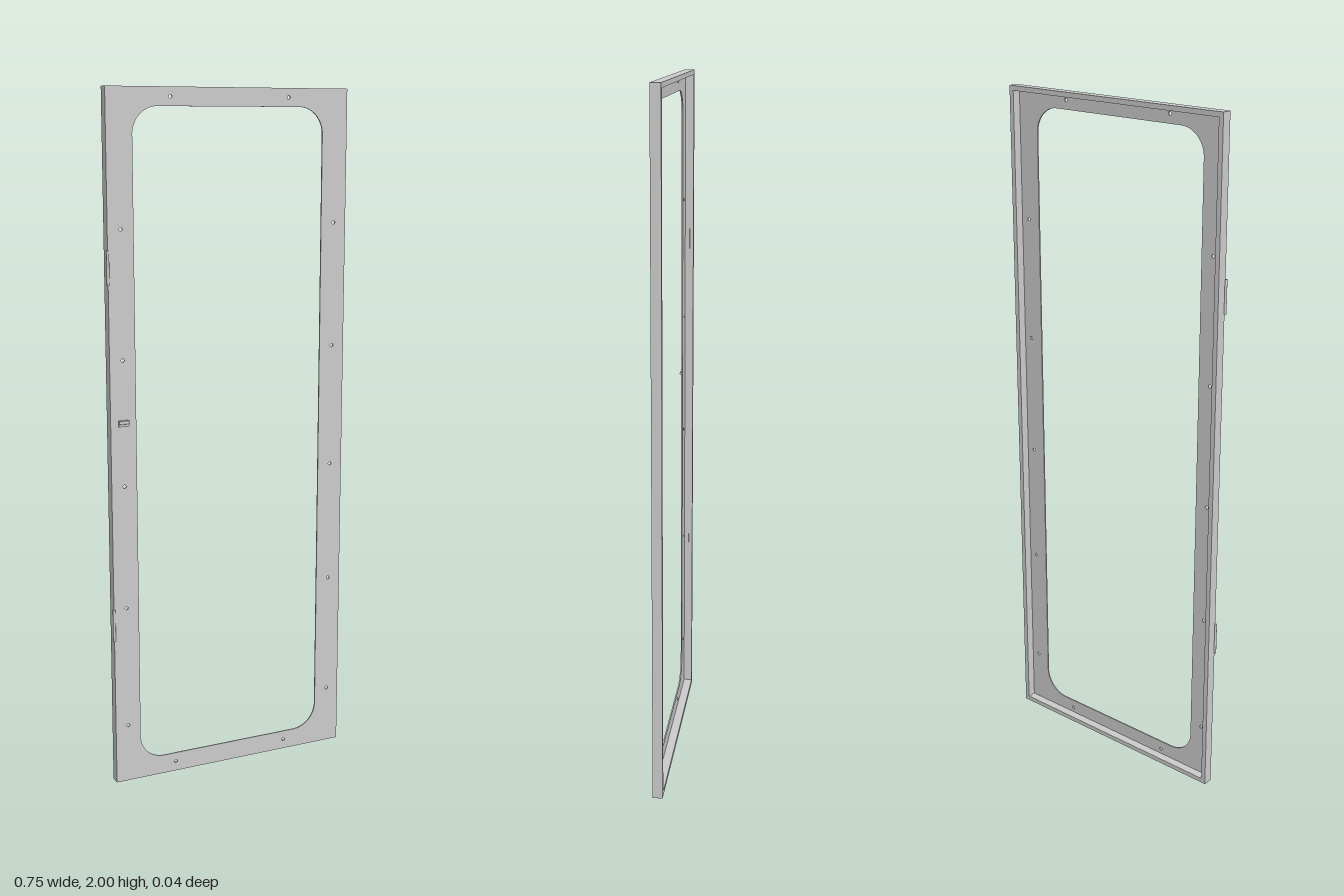
import * as THREE from 'three';

const W = 0.372, H = 2, FRONT = 0.01, BACK = -0.019, SHEET = 0.004, RIM = 0.014;

// Rectangle outline with optional rounded corners
function rect(target, x0, y0, x1, y1, r = 0) {
  if (!r) {
    target.moveTo(x0, y0).lineTo(x1, y0).lineTo(x1, y1).lineTo(x0, y1).closePath();
    return target;
  }
  target.moveTo(x0 + r, y0);
  target.lineTo(x1 - r, y0).absarc(x1 - r, y0 + r, r, -Math.PI / 2, 0);
  target.lineTo(x1, y1 - r).absarc(x1 - r, y1 - r, r, 0, Math.PI / 2);
  target.lineTo(x0 + r, y1).absarc(x0 + r, y1 - r, r, Math.PI / 2, Math.PI);
  target.lineTo(x0, y0 + r).absarc(x0 + r, y0 + r, r, Math.PI, Math.PI * 1.5);
  return target;
}

export function createModel() {
  const group = new THREE.Group();
  const material = new THREE.MeshStandardMaterial({ color: 0xcccccc });

  const add = (name, geometry, x = 0, y = 0, z = 0) => {
    const mesh = new THREE.Mesh(geometry, material);
    mesh.name = name;
    mesh.position.set(x, y, z);
    group.add(mesh);
    return mesh;
  };
  const extrude = (shape, depth) =>
    new THREE.ExtrudeGeometry(shape, { depth, bevelEnabled: false, curveSegments: 16 });

  // Front sheet with the rounded window and the screw holes
  const sheet = rect(new THREE.Shape(), -W, 0, W, H);
  sheet.holes.push(rect(new THREE.Path(), -0.295, 0.057, 0.292, 1.948, 0.075));
  const hole = (x, y) => sheet.holes.push(new THREE.Path().absarc(x, y, 0.005, 0, Math.PI * 2));
  for (const side of [-1, 1]) {
    for (let i = 0; i < 5; i++) hole(side * 0.333, 0.174 + i * 0.3615);
    for (const y of [0.03, 1.974]) hole(side * 0.182, y);
  }
  add('frontSheet', extrude(sheet, SHEET), 0, 0, FRONT - SHEET);

  // Folded rim around the back
  const rim = rect(new THREE.Shape(), -W, 0, W, H);
  rim.holes.push(rect(new THREE.Path(), -W + RIM, RIM, W - RIM, H - RIM));
  add('rim', extrude(rim, FRONT - SHEET - BACK), 0, 0, BACK);

  // Hinge barrels on the edge, with a leaf on the inside of the rim
  for (const y of [0.488, 1.516]) {
    add('hingeBarrel', new THREE.CylinderGeometry(0.004, 0.004, 0.096, 16), -W - 0.0005, y, 0.0115);
    add('hingeLeaf', new THREE.BoxGeometry(0.002, 0.096, 0.012), -W + RIM + 0.001, y, -0.002);
  }

  // Small latch: base plate with a round catch
  add('latchPlate', new THREE.BoxGeometry(0.032, 0.018, 0.004), -0.333, 1.08, FRONT + 0.002);
  const catchBar = add('latchCatch', new THREE.CylinderGeometry(0.004, 0.004, 0.03, 16), -0.333, 1.082, FRONT + 0.004);
  catchBar.rotation.z = Math.PI / 2;

  return group;
}
